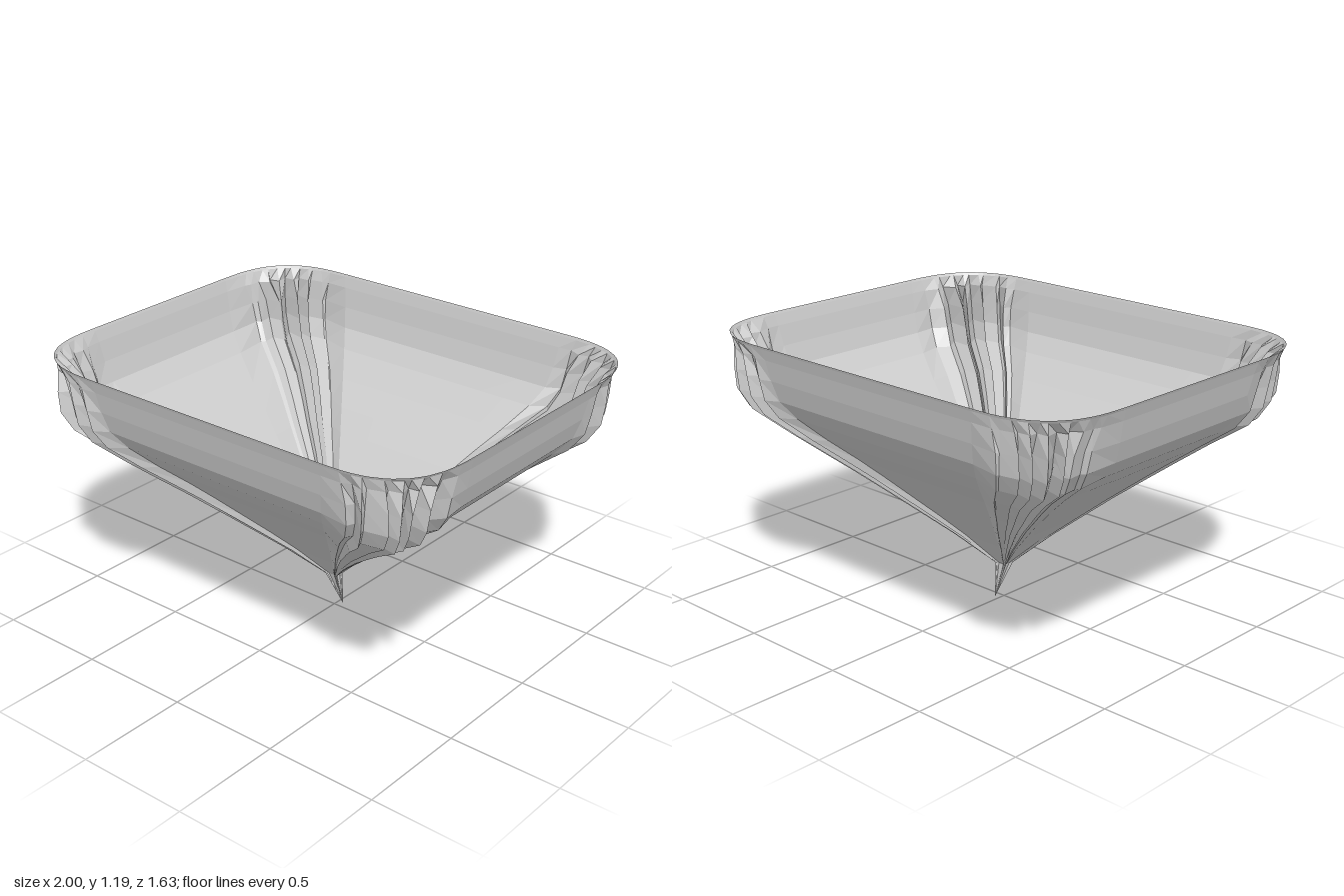
import * as THREE from 'three';

// height, scale of the flat panels, x and z scale of the pleated corners, pleat strength
const LEVELS = [
  [1.19, 1, 1, 1, 0], [1.178, 0.995, 0.993, 0.995, 0], [1.13, 0.98, 0.97, 0.985, 0.35],
  [1.04, 0.96, 0.95, 0.985, 0.85], [0.95, 0.93, 0.935, 0.98, 1], [0.87, 0.86, 0.89, 0.94, 1],
  [0.77, 0.74, 0.745, 0.82, 1], [0.68, 0.62, 0.63, 0.7, 1], [0.6, 0.52, 0.53, 0.59, 1],
  [0.5, 0.4, 0.405, 0.46, 1], [0.4, 0.28, 0.29, 0.33, 1], [0.3, 0.165, 0.175, 0.2, 1],
  [0.16, 0.022, 0.03, 0.035, 1],
];
const HX = 1, HZ = 0.815, RADIUS = 0.4;
const FOLDS = 14, PANEL = 8;
// Side signs of each corner, and how far its pleats push out below the rim
const CORNERS = [[1, 1, 1], [-1, 1, -0.5], [-1, -1, 1], [1, -1, -0.4]];
const { lerp } = THREE.MathUtils;

function seeded(seed) {
  return () => (seed = (seed * 16807) % 2147483647) / 2147483647;
}

// Point on a rounded corner, swelling or shrinking as the pleats grow
function cornerPoint(c, t, pleat) {
  const [sx, sz, swell] = CORNERS[c];
  const a = (c % 2 ? 1 - t : t) * Math.PI / 2;
  const e = 0.74 - 0.2 * swell * pleat;
  return new THREE.Vector2(
    sx * (HX - RADIUS + RADIUS * Math.max(0, Math.cos(a)) ** e),
    sz * (HZ - RADIUS + RADIUS * Math.max(0, Math.sin(a)) ** e),
  );
}

// Uneven pleats for each corner: position along the corner, depth and sideways lean
function makePleats() {
  const rand = seeded(77);
  return CORNERS.map(() => Array.from({ length: FOLDS + 1 }, (_, i) => {
    const inner = i > 0 && i < FOLDS;
    const t = (i + (inner ? 0.6 * (rand() - 0.5) : 0)) / FOLDS;
    const weight = inner ? Math.sin(Math.PI * t) ** 0.6 : 0;
    const fold = weight * (i % 2 ? 0.045 * rand() : -0.02 - 0.07 * rand());
    const lean = weight * 0.06 * (rand() - 0.5);
    return { t, fold, lean, blend: weight ** 0.5 };
  }));
}

// One closed cross-section: each pleated corner followed by a flat panel
function ring([y, panel, cornerX, cornerZ, pleat], pleats) {
  const points = [];
  pleats.forEach((folds, c) => {
    for (const { t, fold, lean, blend } of folds) {
      const p = cornerPoint(c, t, pleat);
      const s = 1 + fold * pleat, a = lean * pleat;
      points.push([
        (p.x - p.y * a) * s * lerp(panel, cornerX, blend), y,
        (p.y + p.x * a) * s * lerp(panel, cornerZ, blend),
      ]);
    }
    const from = cornerPoint(c, 1, pleat), to = cornerPoint((c + 1) % 4, 0, pleat);
    for (let i = 1; i < PANEL; i++) {
      const p = from.clone().lerp(to, i / PANEL).multiplyScalar(panel);
      points.push([p.x, y, p.y]);
    }
  });
  return points;
}

function clothGeometry() {
  const pleats = makePleats();
  const rings = LEVELS.map((level) => ring(level, pleats));
  const n = rings[0].length, index = [];
  for (let k = 0; k < rings.length - 1; k++) {
    for (let i = 0; i < n; i++) {
      const a = k * n + i, b = k * n + (i + 1) % n;
      index.push(a, b, a + n, b, b + n, a + n);
    }
  }
  // Bent tip closing the bottom
  const last = (rings.length - 1) * n, tip = rings.length * n;
  for (let i = 0; i < n; i++) index.push(last + i, last + (i + 1) % n, tip);

  const geometry = new THREE.BufferGeometry();
  const positions = [...rings.flat(2), 0.025, 0, -0.03];
  geometry.setAttribute('position', new THREE.Float32BufferAttribute(positions, 3));
  geometry.setIndex(index);
  geometry.computeVertexNormals();
  return geometry;
}

export function createModel() {
  const group = new THREE.Group();
  group.name = 'pleatedFunnel';
  const cloth = new THREE.Mesh(clothGeometry(), new THREE.MeshStandardMaterial({
    color: 0xcccccc, flatShading: true, side: THREE.DoubleSide,
  }));
  cloth.name = 'hangingCloth';
  group.add(cloth);
  return group;
}
